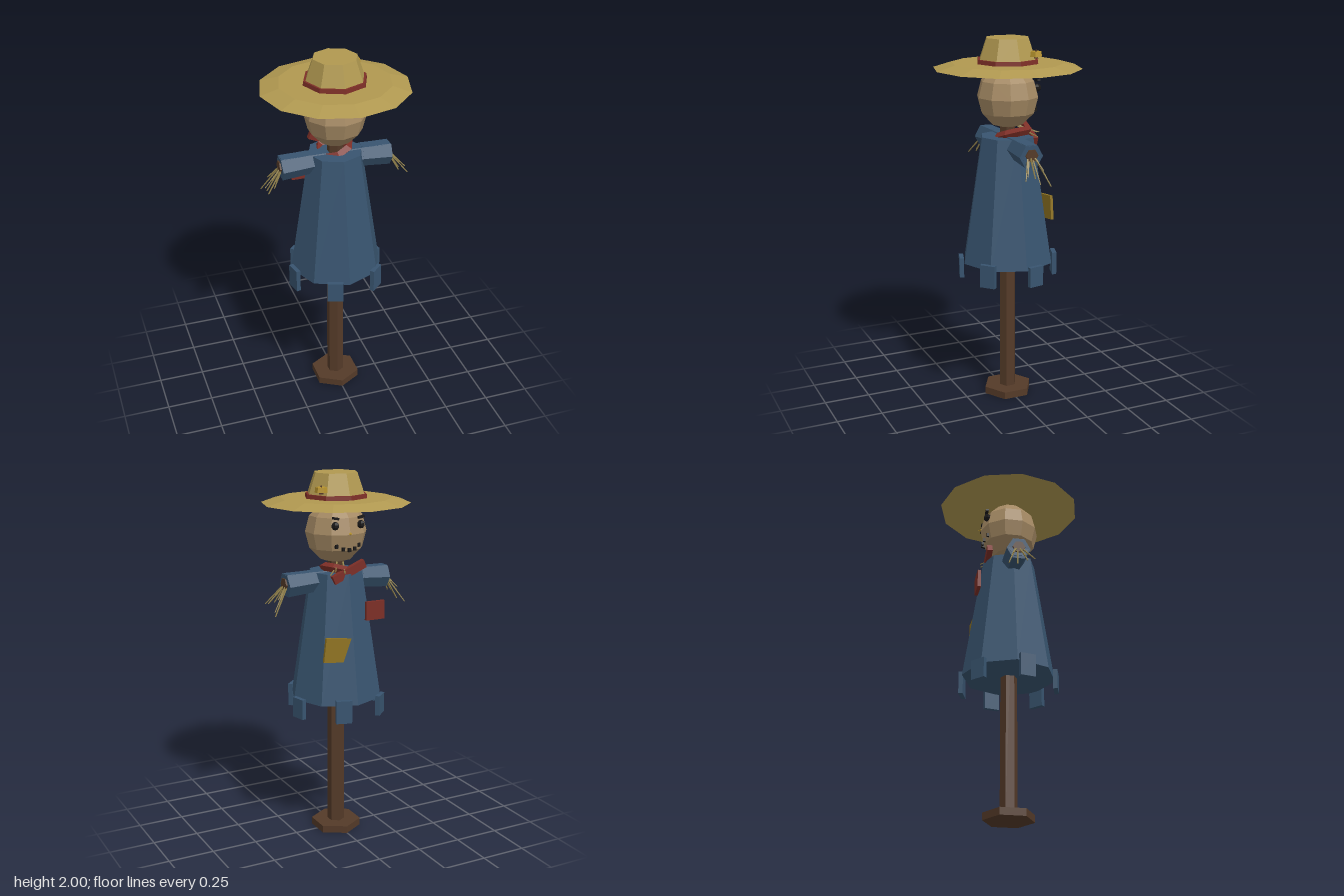
import * as THREE from 'three';

const mat = (color) => new THREE.MeshStandardMaterial({ color, flatShading: true });
const M = {
  straw: mat(0xb09850), wood: mat(0x543a28), coat: mat(0x38546f), red: mat(0x7c2e26),
  sack: mat(0xa58a64), yellow: mat(0x8f7322), black: mat(0x1a1818), gold: mat(0xb8942e),
  dryStraw: mat(0x8f7f4a),
};

export function createModel() {
  const root = new THREE.Group();

  const add = (name, geometry, material, pos = [0, 0, 0], rot = [0, 0, 0]) => {
    const mesh = new THREE.Mesh(geometry, material);
    mesh.name = name;
    mesh.position.set(...pos);
    mesh.rotation.set(...rot);
    root.add(mesh);
    return mesh;
  };
  // Upright prism or frustum between two heights
  const prism = (name, rTop, rBottom, y0, y1, sides, material, x = 0, z = 0) =>
    add(name, new THREE.CylinderGeometry(rTop, rBottom, y1 - y0, sides), material, [x, (y0 + y1) / 2, z]);
  const box = (name, size, material, pos, rot) =>
    add(name, new THREE.BoxGeometry(...size), material, pos, rot);
  // Thin tapered stalk between two points
  const stalk = (a, b, r = 0.006) => {
    const from = new THREE.Vector3(...a), to = new THREE.Vector3(...b);
    const dir = to.clone().sub(from);
    const mesh = add('strawStalk', new THREE.CylinderGeometry(r * 0.5, r, dir.length(), 4), M.dryStraw);
    mesh.position.copy(from).add(to).multiplyScalar(0.5);
    mesh.quaternion.setFromUnitVectors(new THREE.Vector3(0, 1, 0), dir.normalize());
  };

  // Post and foot
  prism('footBlock', 0.137, 0.137, 0, 0.04, 6, M.wood);
  prism('post', 0.044, 0.047, 0.03, 1.56, 6, M.wood);

  // Coat with torn hem
  prism('coat', 0.147, 0.255, 0.79, 1.48, 8, M.coat);
  for (let i = 0; i < 6; i++) {
    const a = THREE.MathUtils.degToRad(42 + i * 60);
    const top = i % 2 ? 0.81 : 0.825;
    box('hemTatter', [0.085, top - 0.7, 0.024], M.coat,
      [Math.sin(a) * 0.255, (top + 0.7) / 2, Math.cos(a) * 0.255], [0, a, 0]);
  }

  // Patches
  box('yellowPatch', [0.15, 0.13, 0.015], M.yellow, [0.09, 1.09, -0.188], [0, 0, 0.12]);
  box('redPatch', [0.11, 0.1, 0.018], M.red, [-0.13, 1.285, -0.195]);

  // Arms: sleeve, crossbar end and straw hand
  const tips = [
    [0.39, 1.28, -0.07], [0.39, 1.33, 0.02], [0.385, 1.32, 0.07],
    [0.37, 1.29, -0.02], [0.345, 1.33, 0.04], [0.36, 1.36, -0.04],
  ];
  for (const s of [1, -1]) {
    add('sleeve', new THREE.CylinderGeometry(0.06, 0.062, 0.24, 6), M.coat,
      [s * 0.18, 1.432, 0], [0, 0, -s * Math.PI / 2]);
    add('cuff', new THREE.CylinderGeometry(0.066, 0.062, 0.16, 6), M.coat,
      [s * 0.22, 1.428, 0], [0, 0, -s * (Math.PI / 2 + 0.06)]);
    add('crossbar', new THREE.CylinderGeometry(0.035, 0.035, 0.3, 6), M.wood,
      [s * 0.16, 1.43, 0], [0, 0, -s * Math.PI / 2]);
    for (const [x, y, z] of tips) stalk([s * 0.29, 1.435, z * 0.2], [s * x, y, z]);
  }

  // Tilted neckerchief with loose straw
  const scarf = add('neckerchief', new THREE.TorusGeometry(0.085, 0.026, 4, 8), M.red,
    [0, 1.485, -0.03], [Math.PI / 2 + 0.12, 0.3, 0]);
  scarf.scale.z = 0.9;
  box('neckerchiefFold', [0.2, 0.045, 0.03], M.red, [-0.01, 1.49, -0.125], [0, 0, -0.4]);
  stalk([0.02, 1.52, -0.06], [0.1, 1.48, -0.13]);
  stalk([0.02, 1.53, -0.05], [0.08, 1.5, -0.15]);
  stalk([-0.01, 1.53, -0.06], [0.03, 1.49, -0.16]);

  // Sack head, with a corner line on the face side
  const head = new THREE.SphereGeometry(0.165, 10, 6);
  head.rotateY(Math.PI / 2);
  add('head', head, M.sack, [0, 1.69, 0]).scale.y = 1.03;

  // Face, turned towards -z
  for (const s of [1, -1]) {
    add('eye', new THREE.SphereGeometry(0.022, 6, 5), M.black, [s * 0.075, 1.738, -0.137]);
    box('brow', [0.035, 0.012, 0.016], M.black, [s * 0.075, 1.777, -0.14], [0, 0, s * 0.2]);
  }
  add('nose', new THREE.ConeGeometry(0.014, 0.025, 4), M.gold, [0, 1.695, -0.165], [-Math.PI / 2, 0, 0]);
  for (let i = -2; i <= 2; i++)
    box('mouthStitch', [0.014, 0.02, 0.014], M.black,
      [i * 0.033, 1.61 + i * i * 0.005, -0.152 + i * i * 0.005]);

  // Straw hat with band and ornament
  prism('hatBrim', 0.295, 0.395, 1.84, 1.868, 12, M.straw);
  prism('hatBand', 0.168, 0.172, 1.862, 1.89, 8, M.red);
  prism('hatCrown', 0.118, 0.166, 1.862, 2, 8, M.straw);
  prism('hatButton', 0.03, 0.034, 1.91, 1.937, 6, M.gold, 0.137, -0.1);
  prism('hatButtonCentre', 0.004, 0.013, 1.9, 1.946, 4, M.wood, 0.137, -0.1);

  return root;
}
